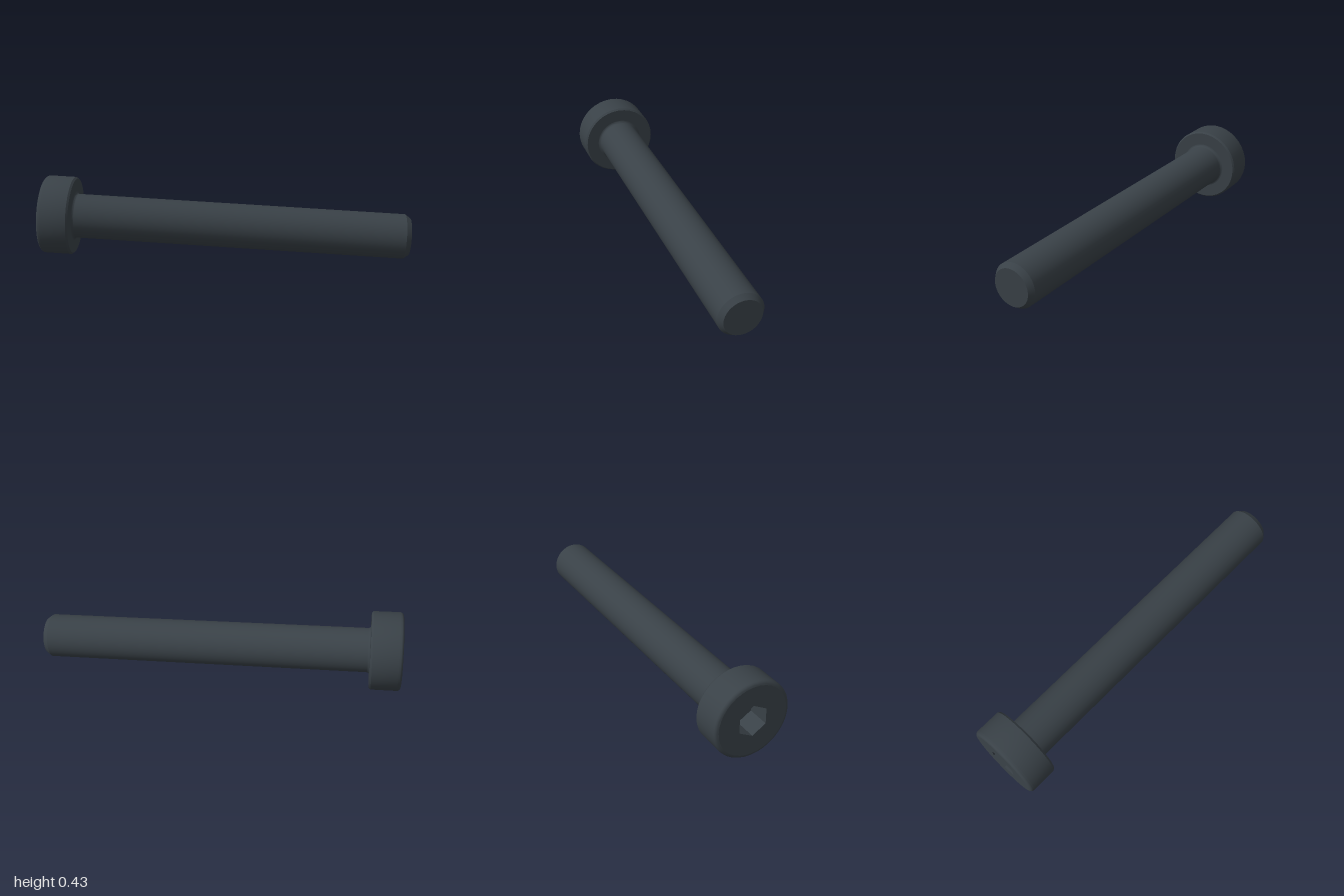
import * as THREE from 'three';
import { toCreasedNormals } from 'three/addons/utils/BufferGeometryUtils.js';

const TAIL = new THREE.Vector3(-0.957, 0.222, -0.16); // centre of the outer head face
const TIP = new THREE.Vector3(0.978, 0.121, 0.253); // centre of the shank end
const LENGTH = TAIL.distanceTo(TIP);
const HEAD_R = 0.212, HEAD_H = 0.169, EDGE = 0.02;
const SHANK_R = 0.12, NECK = 0.014;
const HEX_R = 0.087, HEX_DEPTH = 0.12;
const SEGMENTS = 36;

// Points on a quarter arc, from angle a to b, as lathe profile points
function arc(cx, cy, r, a, b, steps = 4) {
  return Array.from({ length: steps + 1 }, (_, i) => {
    const t = a + ((b - a) * i) / steps;
    return new THREE.Vector2(cx + r * Math.cos(t), cy + r * Math.sin(t));
  });
}

// Turned part whose axis runs along +z
function turned(points) {
  const g = new THREE.LatheGeometry(points, SEGMENTS);
  g.rotateX(Math.PI / 2);
  return toCreasedNormals(g, 0.5);
}

export function createModel() {
  const steel = new THREE.MeshStandardMaterial({ color: 0x394147 });
  steel.name = 'dark steel';

  const screw = new THREE.Group();
  screw.name = 'screw';
  const add = (name, geometry) => {
    const mesh = new THREE.Mesh(geometry, steel);
    mesh.name = name;
    screw.add(mesh);
  };
  const v = (x, y) => new THREE.Vector2(x, y);

  // Head: rounded outer edge, small chamfer on the underside
  add('head', turned([
    ...arc(HEAD_R - EDGE, EDGE, EDGE, -Math.PI / 2, 0),
    v(HEAD_R, HEAD_H - 0.01),
    v(HEAD_R - 0.008, HEAD_H),
    v(SHANK_R + NECK, HEAD_H),
  ]));

  // Shank: fillet under the head, chamfered tip with a flat end
  add('shank', turned([
    ...arc(SHANK_R + NECK, HEAD_H + NECK, NECK, -Math.PI / 2, -Math.PI),
    v(SHANK_R, LENGTH - 0.028),
    v(0.1, LENGTH),
    v(0, LENGTH),
  ]));

  // Outer head face with a hexagonal opening
  const face = new THREE.Shape();
  face.setFromPoints(Array.from({ length: SEGMENTS }, (_, i) => {
    const t = (i / SEGMENTS) * Math.PI * 2;
    return v((HEAD_R - EDGE) * Math.cos(t), (HEAD_R - EDGE) * Math.sin(t));
  }));
  face.holes.push(new THREE.Path(Array.from({ length: 6 }, (_, i) => {
    const t = Math.PI / 2 - (i * Math.PI) / 3;
    return v(HEX_R * Math.cos(t), HEX_R * Math.sin(t));
  })));
  add('headFace', new THREE.ShapeGeometry(face).rotateY(Math.PI));

  // Socket walls, mirrored so that they face inward
  const walls = new THREE.CylinderGeometry(HEX_R, HEX_R, HEX_DEPTH, 6, 1, true)
    .rotateX(Math.PI / 2)
    .translate(0, 0, HEX_DEPTH / 2)
    .scale(-1, 1, 1)
    .toNonIndexed();
  walls.computeVertexNormals();
  add('socketWalls', walls);

  // Socket floor
  add('socketFloor', new THREE.CircleGeometry(HEX_R, 6, Math.PI / 2)
    .rotateY(Math.PI)
    .translate(0, 0, HEX_DEPTH));

  // Lay the screw along its slanted axis
  screw.position.copy(TAIL);
  screw.lookAt(TIP);

  const model = new THREE.Group();
  model.name = 'socketHeadScrew';
  model.add(screw);
  return model;
}
